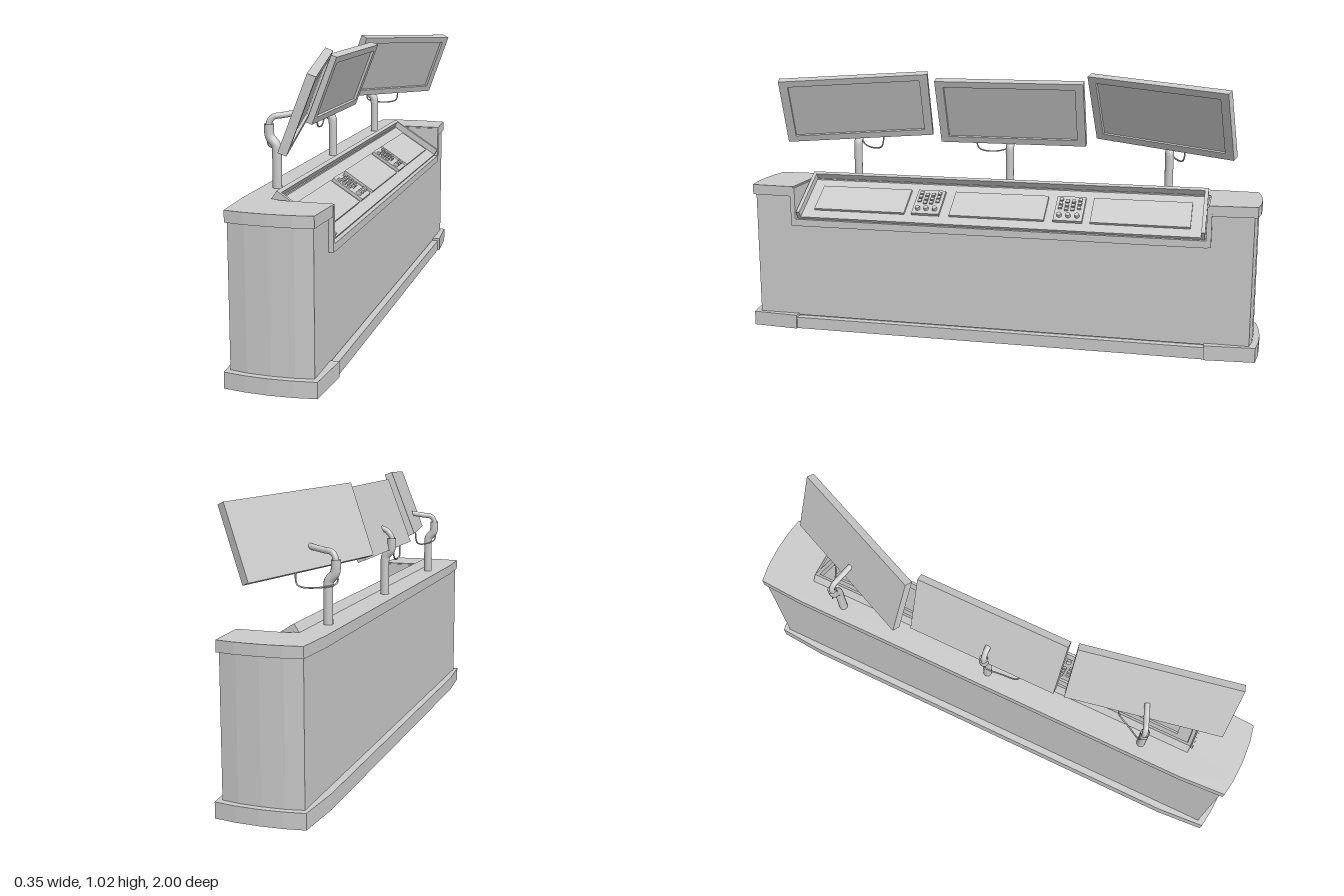
import * as THREE from 'three';

const mat = new THREE.MeshStandardMaterial({ color: 0xcccccc, side: THREE.DoubleSide });
const rad = THREE.MathUtils.degToRad;

function add(parent, name, geometry, x = 0, y = 0, z = 0) {
  const mesh = new THREE.Mesh(geometry, mat);
  mesh.name = name;
  mesh.position.set(x, y, z);
  parent.add(mesh);
  return mesh;
}

const box = (parent, name, w, h, d, x, y, z) =>
  add(parent, name, new THREE.BoxGeometry(w, h, d), x, y, z);

// Plan outline given as (x, z) for z > 0, mirrored across z = 0 and raised from y0 to y1
function slab(parent, name, half, y0, y1) {
  const all = [...half, ...half.map(([x, z]) => [x, -z]).reverse()];
  const shape = new THREE.Shape(all.map(([x, z]) => new THREE.Vector2(x, -z)));
  const geo = new THREE.ExtrudeGeometry(shape, { depth: y1 - y0, bevelEnabled: false });
  add(parent, name, geo.rotateX(-Math.PI / 2), 0, y0, 0);
}

// Half outline with a bowed end, tapered corners and a notch on the working side
const plan = (notch, right, left, taper, end) => [
  [notch, 0.8], [right, 0.8], [right - taper, end - 0.015], [0.07, end - 0.004],
  [-0.01, end], [-0.09, end - 0.004], [left + taper, end - 0.015], [left, 0.8],
];

function tube(parent, name, points, radius, sides) {
  const curve = new THREE.CatmullRomCurve3(points.map(p => new THREE.Vector3(...p)), false, 'centripetal');
  add(parent, name, new THREE.TubeGeometry(curve, 28, radius, sides));
}

function makeCabinet(root) {
  const cabinet = new THREE.Group();
  cabinet.name = 'cabinet';
  root.add(cabinet);
  slab(cabinet, 'plinth', plan(0.152, 0.16, -0.177, 0.014, 1), 0, 0.045);
  slab(cabinet, 'plinthUpper', plan(0.12, 0.16, -0.177, 0.014, 1), 0.045, 0.055);
  slab(cabinet, 'bodyEnds', plan(-0.08, 0.13, -0.15, 0, 0.977), 0.05, 0.54);
  slab(cabinet, 'worktop', plan(-0.045, 0.146, -0.165, 0.01, 0.988), 0.536, 0.575);

  // Middle body, cut away below the sloping desk
  const section = new THREE.Shape([
    [-0.149, 0.05], [0.13, 0.05], [0.13, 0.43], [-0.06, 0.55], [-0.149, 0.55],
  ].map(p => new THREE.Vector2(...p)));
  const geo = new THREE.ExtrudeGeometry(section, { depth: 1.6, bevelEnabled: false });
  add(cabinet, 'bodyMiddle', geo, 0, 0, -0.8);

  // Trim around the desk opening
  box(cabinet, 'frontLip', 0.04, 0.027, 1.6, 0.126, 0.432, 0);
  for (const s of [-1, 1]) box(cabinet, 'openingTrim', 0.18, 0.15, 0.018, 0.056, 0.495, s * 0.803);
}

function makeDesk(root) {
  const desk = new THREE.Group();
  desk.name = 'desk';
  desk.position.set(0.049, 0.539, 0);
  desk.rotation.z = rad(-33);
  root.add(desk);
  box(desk, 'deskFloor', 0.236, 0.012, 1.58, 0, -0.031, 0);
  box(desk, 'deskBackRim', 0.014, 0.045, 1.58, -0.111, -0.0225, 0);
  for (const s of [-1, 1]) box(desk, 'deskEndRim', 0.236, 0.045, 0.014, 0, -0.0225, s * 0.783);
  for (const z of [-0.55, -0.005, 0.545]) box(desk, 'deskPanel', 0.13, 0.01, 0.37, 0.012, -0.021, z);

  // Control pads with two banks of keys and a row of knobs
  for (const z of [-0.28, 0.275]) {
    const pad = new THREE.Group();
    pad.name = 'controlPad';
    pad.position.set(0.012, -0.018, z);
    desk.add(pad);
    box(pad, 'padPlate', 0.13, 0.012, 0.11, 0, -0.002, 0);
    for (let i = 0; i < 3; i++) {
      for (const s of [-1, 1]) {
        box(pad, 'key', 0.014, 0.009, 0.014, -0.045 + i * 0.021, 0.006, s * 0.036);
        box(pad, 'key', 0.014, 0.009, 0.014, -0.036 + i * 0.021, 0.006, s * 0.012);
      }
      add(pad, 'knob', new THREE.CylinderGeometry(0.009, 0.01, 0.014, 12), 0.04, 0.009, (i - 1) * 0.034);
    }
  }
}

// Screen facing +x with a raised bezel
function makeMonitor(root, [x, y, z], yaw, roll) {
  const w = 0.58, h = 0.265;
  const monitor = new THREE.Group();
  monitor.name = 'monitor';
  monitor.position.set(x, y, z);
  monitor.rotation.set(rad(roll), rad(yaw), rad(-21), 'YXZ');
  root.add(monitor);
  box(monitor, 'monitorBack', 0.02, h, w, -0.005, 0, 0);
  const rect = (C, a, b) => new C([[-a, -b], [a, -b], [a, b], [-a, b]].map(p => new THREE.Vector2(...p)));
  const frame = rect(THREE.Shape, w / 2, h / 2);
  frame.holes.push(rect(THREE.Path, w / 2 - 0.033, h / 2 - 0.025));
  const geo = new THREE.ExtrudeGeometry(frame, { depth: 0.01, bevelEnabled: false });
  add(monitor, 'monitorBezel', geo.rotateY(Math.PI / 2), 0.005, 0, 0);
}

// Post with a cranked neck and an arm reaching the back of the screen
function makeStand(root, z, tip, cableEnd) {
  const stand = new THREE.Group();
  stand.name = 'monitorStand';
  root.add(stand);
  add(stand, 'post', new THREE.CylinderGeometry(0.016, 0.016, 0.14, 16), -0.109, 0.64, z);
  tube(stand, 'neck', [
    [-0.109, 0.7, z], [-0.112, 0.72, z], [-0.132, 0.745, z], [-0.136, 0.765, z], [-0.136, 0.79, z],
  ], 0.0165, 14);
  const dx = tip[0] + 0.136, dz = tip[1] - z;
  tube(stand, 'arm', [
    [-0.136, 0.77, z], [-0.135, 0.795, z], [-0.122, 0.813, z + dz * 0.14],
    [-0.136 + dx * 0.5, 0.819, z + dz * 0.5], [tip[0], 0.827, tip[1]],
  ], 0.0105, 12);
  const [cx, cy, cz] = cableEnd;
  tube(stand, 'cable', [
    [-0.14, 0.75, z], [-0.142, 0.715, z + (cz - z) * 0.1],
    [(cx - 0.14) / 2, 0.7, z + (cz - z) * 0.5],
    [cx - 0.005, 0.71, z + (cz - z) * 0.9], [cx, cy, cz],
  ], 0.003, 6);
}

export function createModel() {
  const root = new THREE.Group();
  root.name = 'controlConsole';
  makeCabinet(root);
  makeDesk(root);
  makeMonitor(root, [-0.013, 0.875, 0.584], 12, 3);
  makeMonitor(root, [-0.07, 0.864, -0.025], 0, 0);
  makeMonitor(root, [0, 0.875, -0.607], -24, -3);
  makeStand(root, 0.62, [-0.045, 0.585], [-0.085, 0.755, 0.5]);
  makeStand(root, -0.012, [-0.095, -0.012], [-0.125, 0.75, 0.13]);
  makeStand(root, -0.635, [-0.035, -0.606], [-0.02, 0.755, -0.7]);
  return root;
}
